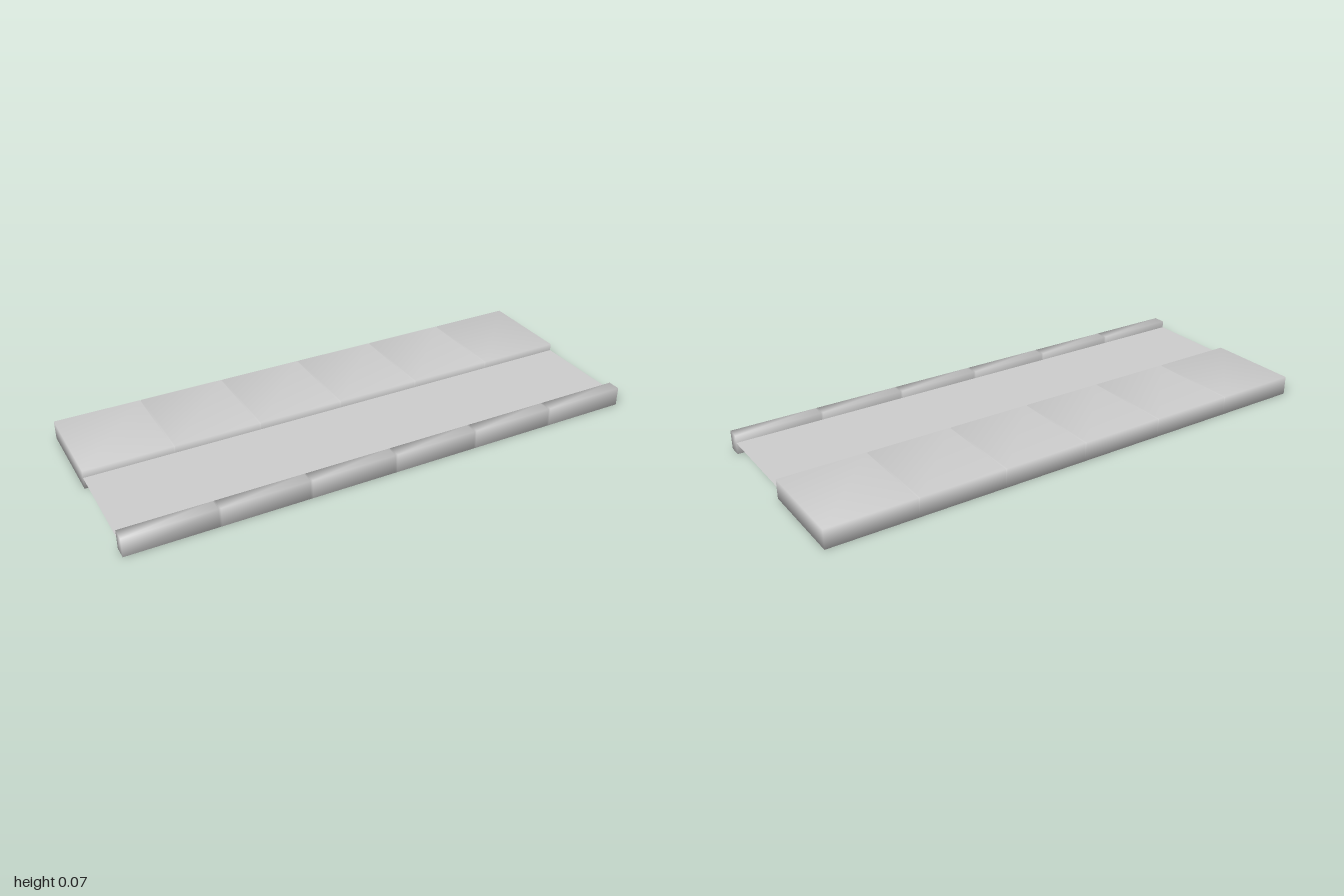
import * as THREE from 'three';
import { mergeVertices } from 'three/addons/utils/BufferGeometryUtils.js';

const HEIGHT = 0.073;
const SLABS = 6;
const GROOVE = 0.004;

// Long softly shaded bar along x, cut into slabs by shallow grooves in its top
function slabBar(name, zBack, zFront, grooveDepth, material) {
  const stations = [-1];
  for (let i = 1; i < SLABS; i++) {
    const seam = -1 + (2 * i) / SLABS;
    stations.push(seam - GROOVE, seam, seam + GROOVE);
  }
  stations.push(1);
  const segments = stations.length - 1;
  const box = new THREE.BoxGeometry(2, HEIGHT, zFront - zBack, segments, 1, 1);
  box.translate(0, HEIGHT / 2, (zFront + zBack) / 2);

  const pos = box.attributes.position;
  for (let i = 0; i < pos.count; i++) {
    const k = Math.round(((pos.getX(i) + 1) / 2) * segments);
    pos.setX(i, stations[k]);
    const onSeam = k > 0 && k < segments && k % 3 === 2;
    if (onSeam && pos.getY(i) > HEIGHT / 2) pos.setY(i, HEIGHT - grooveDepth);
  }
  // Shared corners give the rolled-over shading of the edges
  box.deleteAttribute('normal');
  box.deleteAttribute('uv');
  const geometry = mergeVertices(box);
  geometry.computeVertexNormals();

  const mesh = new THREE.Mesh(geometry, material);
  mesh.name = name;
  return mesh;
}

export function createModel() {
  const group = new THREE.Group();
  group.name = 'pavementSection';
  const grey = new THREE.MeshStandardMaterial({ color: 0xcccccc });
  const thin = new THREE.MeshStandardMaterial({ color: 0xcccccc, side: THREE.DoubleSide });

  // Wide slabbed pavement at the back, narrow kerb at the front
  group.add(slabBar('pavement', -0.395, -0.027, 0.002, grey));
  group.add(slabBar('kerb', 0.345, 0.395, 0, grey));

  // Thin sunken sheet bridging the two
  const bed = new THREE.Mesh(new THREE.PlaneGeometry(2, 0.372).rotateX(-Math.PI / 2), thin);
  bed.name = 'sunkenStrip';
  bed.position.set(0, 0.045, 0.159);
  group.add(bed);

  return group;
}
